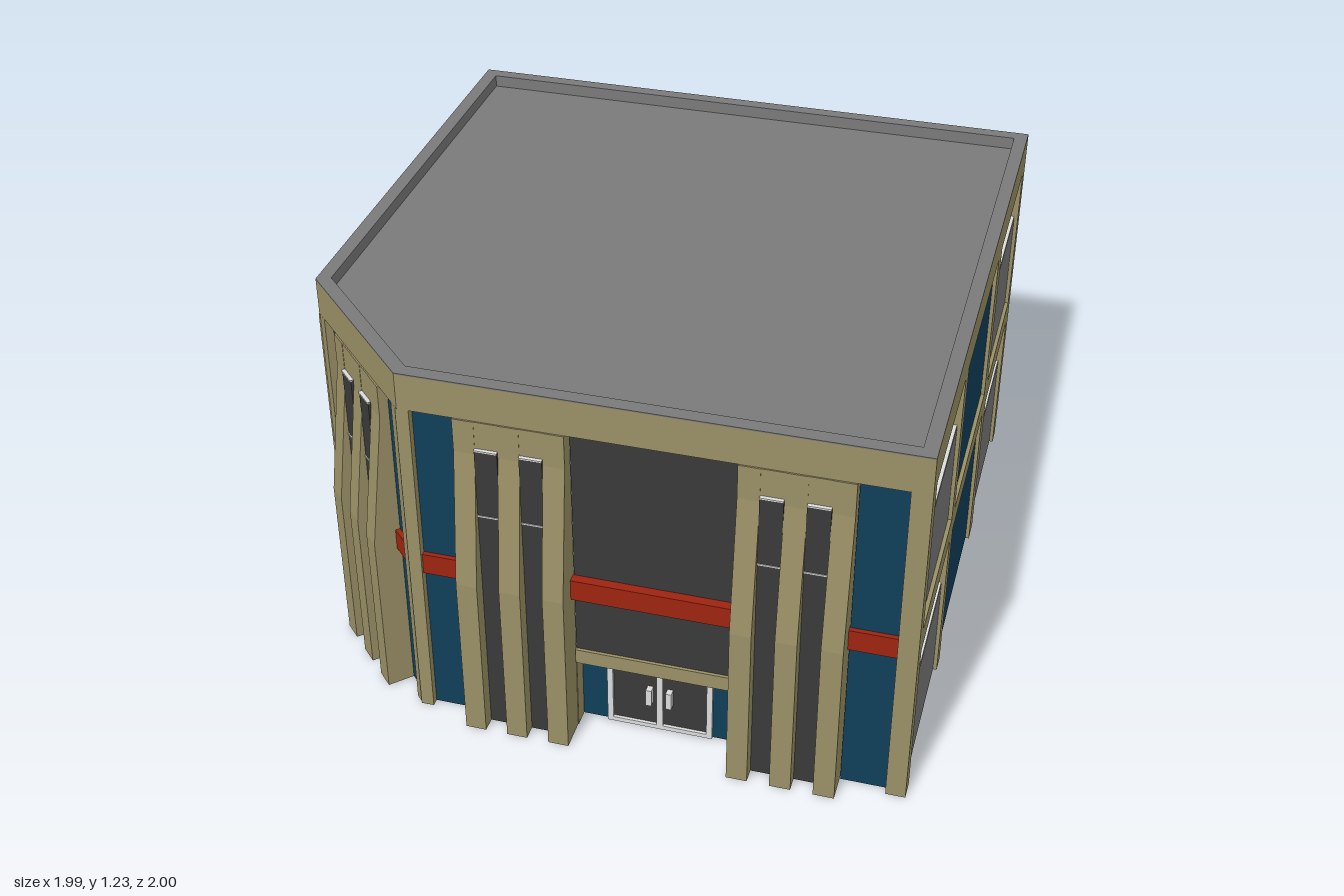
import * as THREE from 'three';

const mat = (name, color) => {
  const m = new THREE.MeshStandardMaterial({ color });
  m.name = name;
  return m;
};

export function createModel() {
  const tan = mat('tan concrete', 0x9a9066);
  const teal = mat('teal panel', 0x0f3f5a);
  const grey = mat('grey', 0x7a7a7a);
  const dark = mat('dark glass', 0x3a3a3a);
  const red = mat('red band', 0x9e2410);
  const white = mat('white frame', 0xdcdcdc);

  const building = new THREE.Group();
  building.name = 'building';

  const add = (group, name, geometry, material) => {
    const mesh = new THREE.Mesh(geometry, material);
    mesh.name = name;
    group.add(mesh);
  };

  // A wall has its outside towards local +z; side = -1 mirrors it along its length
  const makeWall = (name, angle, side, x = 0, z = 0) => {
    const group = new THREE.Group();
    group.name = name;
    group.rotation.y = angle;
    group.position.set(x, 0, z);
    building.add(group);
    const box = (part, material, u0, u1, y0, y1, z0, z1) => {
      const g = new THREE.BoxGeometry(u1 - u0, y1 - y0, z1 - z0);
      g.translate(side * (u0 + u1) / 2, (y0 + y1) / 2, (z0 + z1) / 2);
      add(group, part, g, material);
    };
    return { group, box, side };
  };

  // Three buttresses that lean back above mid-height, with two tall windows between
  const buttresses = ({ group, box, side }, center) => {
    const profile = new THREE.Shape([
      [0.895, 0], [1.0, 0], [1.0, 0.56], [0.945, 1.0], [0.945, 1.11], [0.895, 1.11],
    ].map(([z, y]) => new THREE.Vector2(-z, y)));
    for (const i of [-1, 0, 1]) {
      const g = new THREE.ExtrudeGeometry(profile, { depth: 0.064, bevelEnabled: false });
      g.translate(0, 0, -0.032);
      g.rotateY(Math.PI / 2);
      g.translate(side * (center + i * 0.132), 0, 0);
      add(group, 'buttress', g, tan);
    }
    for (const i of [-1, 1]) {
      const c = center + i * 0.066, a = c - 0.034, b = c + 0.034;
      box('tallWindow', dark, a, b, 0, 1.02, 0.9, 0.953);
      box('windowLintel', tan, a, b, 1.02, 1.11, 0.9, 0.944);
      for (const y of [0.79, 1.018]) box('windowBar', white, a, b, y - 0.003, y + 0.003, 0.94, 0.956);
    }
  };

  // Teal infill
  const infill = ({ box }, u0, u1) => box('tealPanel', teal, u0, u1, 0, 1.11, 0.89, 0.915);

  // Two matching entrance walls
  for (const wall of [makeWall('frontWall', 0, 1), makeWall('rightWall', -Math.PI / 2, -1)]) {
    const { box } = wall;
    box('cornerPost', tan, -0.53, -0.49, 0, 1.11, 0.9, 0.94);
    box('endPost', tan, 0.93, 0.99, 0, 1.11, 0.9, 0.94);
    infill(wall, -0.49, -0.36);
    infill(wall, 0.79, 0.93);
    buttresses(wall, -0.196);
    buttresses(wall, 0.624);
    box('redBand', red, -0.51, 0.95, 0.52, 0.59, 0.88, 0.93);

    // Recessed entrance bay
    box('bayGlass', dark, -0.03, 0.46, 0.31, 1.11, 0.885, 0.9);
    box('entranceBeam', tan, -0.03, 0.46, 0.26, 0.31, 0.83, 0.91);
    box('alcoveSide', tan, -0.05, -0.03, 0, 0.31, 0.83, 0.9);
    box('alcoveSide', tan, 0.46, 0.48, 0, 0.31, 0.83, 0.9);
    box('entrancePanel', teal, -0.03, 0.05, 0, 0.26, 0.83, 0.845);
    box('entrancePanel', teal, 0.38, 0.46, 0, 0.26, 0.83, 0.845);

    // Double door
    box('doorTop', white, 0.05, 0.38, 0.242, 0.26, 0.825, 0.855);
    box('doorBottom', white, 0.05, 0.38, 0, 0.015, 0.825, 0.855);
    for (const [a, b] of [[0.05, 0.068], [0.205, 0.225], [0.362, 0.38]]) {
      box('doorStile', white, a, b, 0.015, 0.242, 0.825, 0.855);
    }
    box('doorGlass', dark, 0.068, 0.205, 0.015, 0.242, 0.835, 0.845);
    box('doorGlass', dark, 0.225, 0.362, 0.015, 0.242, 0.835, 0.845);
    box('doorHandle', white, 0.175, 0.193, 0.1, 0.16, 0.845, 0.868);
    box('doorHandle', white, 0.237, 0.255, 0.1, 0.16, 0.845, 0.868);
  }

  // Cut-off corner
  const corner = makeWall('angledWall', -Math.PI / 4, 1, -0.068, 0.068);
  for (const s of [-1, 1]) {
    const range = (a, b) => (s > 0 ? [a, b] : [-b, -a]);
    corner.box('cornerPost', tan, ...range(0.253, 0.293), 0, 1.11, 0.9, 0.94);
    infill(corner, ...range(0.164, 0.253));
  }
  buttresses(corner, 0);
  corner.box('redBand', red, -0.275, 0.275, 0.52, 0.59, 0.88, 0.93);

  // Two plain walls: posts, rails, teal bays and strip windows over grey panels
  const plainWalls = [
    [makeWall('leftWall', Math.PI / 2, 1), 0.99],
    [makeWall('backWall', Math.PI, -1), 1.0],
  ];
  for (const [{ box }, f] of plainWalls) {
    for (const [a, b] of [[-0.94, -0.88], [-0.36, -0.3], [0.34, 0.42], [0.94, 0.99]]) {
      box('post', tan, a, b, 0, 1.11, f - 0.05, f);
    }
    const bays = [[-0.88, -0.36, false], [-0.3, 0.34, true], [0.42, 0.94, false]];
    for (const [a, b, solid] of bays) {
      box('rail', tan, a, b, 0.52, 0.6, f - 0.05, f);
      for (const [y0, y1, y2] of [[0, 0.355, 0.52], [0.6, 0.945, 1.11]]) {
        if (solid) {
          box('tealPanel', teal, a, b, y0, y2, f - 0.04, f - 0.012);
        } else {
          box('greyPanel', grey, a, b, y0, y1 - 0.004, f - 0.045, f - 0.012);
          box('windowSill', white, a, b, y1 - 0.004, y1, f - 0.05, f - 0.013);
          box('stripWindow', dark, a, b, y1, y2, f - 0.05, f - 0.042);
        }
      }
    }
  }

  // Roof: tan header ring, grey coping, grey parapet lining and deck
  const outline = (d) => {
    const c = d * 0.414;
    return [
      [-0.94 + d, 0.525 - c], [-0.525 + c, 0.94 - d], [0.99 - d, 0.94 - d],
      [0.99 - d, -1 + d], [-0.94 + d, -1 + d],
    ].map(([x, z]) => new THREE.Vector2(x, -z));
  };
  const slab = (name, material, y0, y1, outer, inner) => {
    const shape = new THREE.Shape(outline(outer));
    if (inner) shape.holes.push(new THREE.Path(outline(inner)));
    const g = new THREE.ExtrudeGeometry(shape, { depth: y1 - y0, bevelEnabled: false });
    g.rotateX(-Math.PI / 2);
    g.translate(0, y0, 0);
    add(building, name, g, material);
  };
  slab('header', tan, 1.11, 1.226, 0, 0.04);
  slab('coping', grey, 1.226, 1.23, 0, 0.043);
  slab('parapetLining', grey, 1.17, 1.226, 0.04, 0.043);
  slab('roofDeck', grey, 1.17, 1.19, 0.04);

  return building;
}
